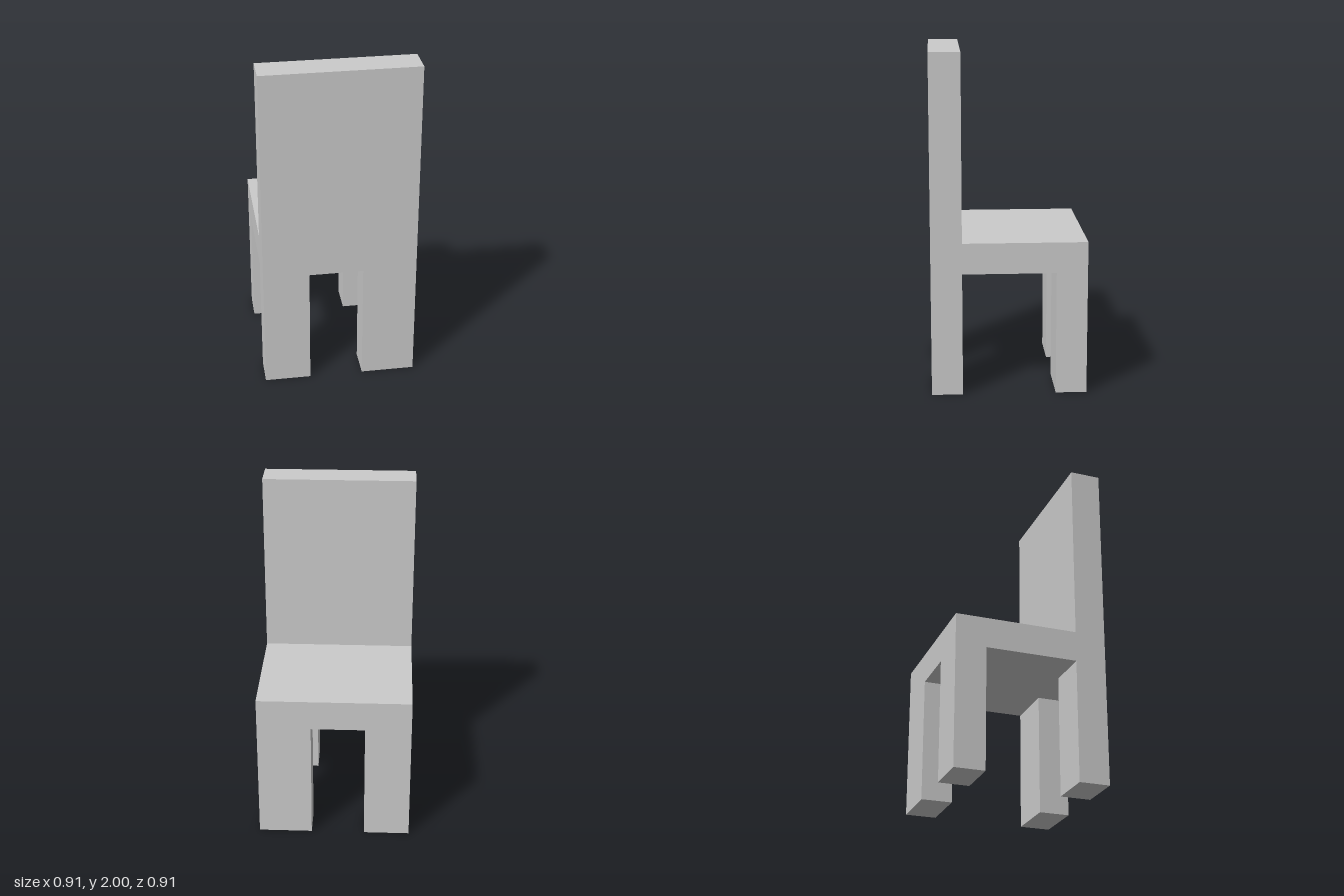
import * as THREE from 'three';

const U = 1 / 11; // the chair is laid out on a grid of 22 units in height

export function createModel() {
  const chair = new THREE.Group();
  chair.name = 'chair';
  const material = new THREE.MeshStandardMaterial({ color: 0xcccccc, flatShading: true });

  // Box between two corners, given in grid units
  const addBox = (name, [x0, y0, z0], [x1, y1, z1]) => {
    const geometry = new THREE.BoxGeometry((x1 - x0) * U, (y1 - y0) * U, (z1 - z0) * U);
    const mesh = new THREE.Mesh(geometry, material);
    mesh.position.set(x0 + x1, y0 + y1, z0 + z1).multiplyScalar(U / 2);
    mesh.name = name;
    chair.add(mesh);
  };

  // Seat slab and the tall backrest standing against its +z edge
  addBox('seat', [-5, 8, -5], [5, 10, 3]);
  addBox('backrest', [-5, 8, 3], [5, 22, 5]);

  // Four legs; the left pair is slightly wider than the right pair
  for (const [end, z0, z1] of [['backrest', 3, 5], ['seat', -5, -3]]) {
    addBox(`${end}LegRight`, [-5, 0, z0], [-2, 8, z1]);
    addBox(`${end}LegLeft`, [1.5, 0, z0], [5, 8, z1]);
  }
  return chair;
}
